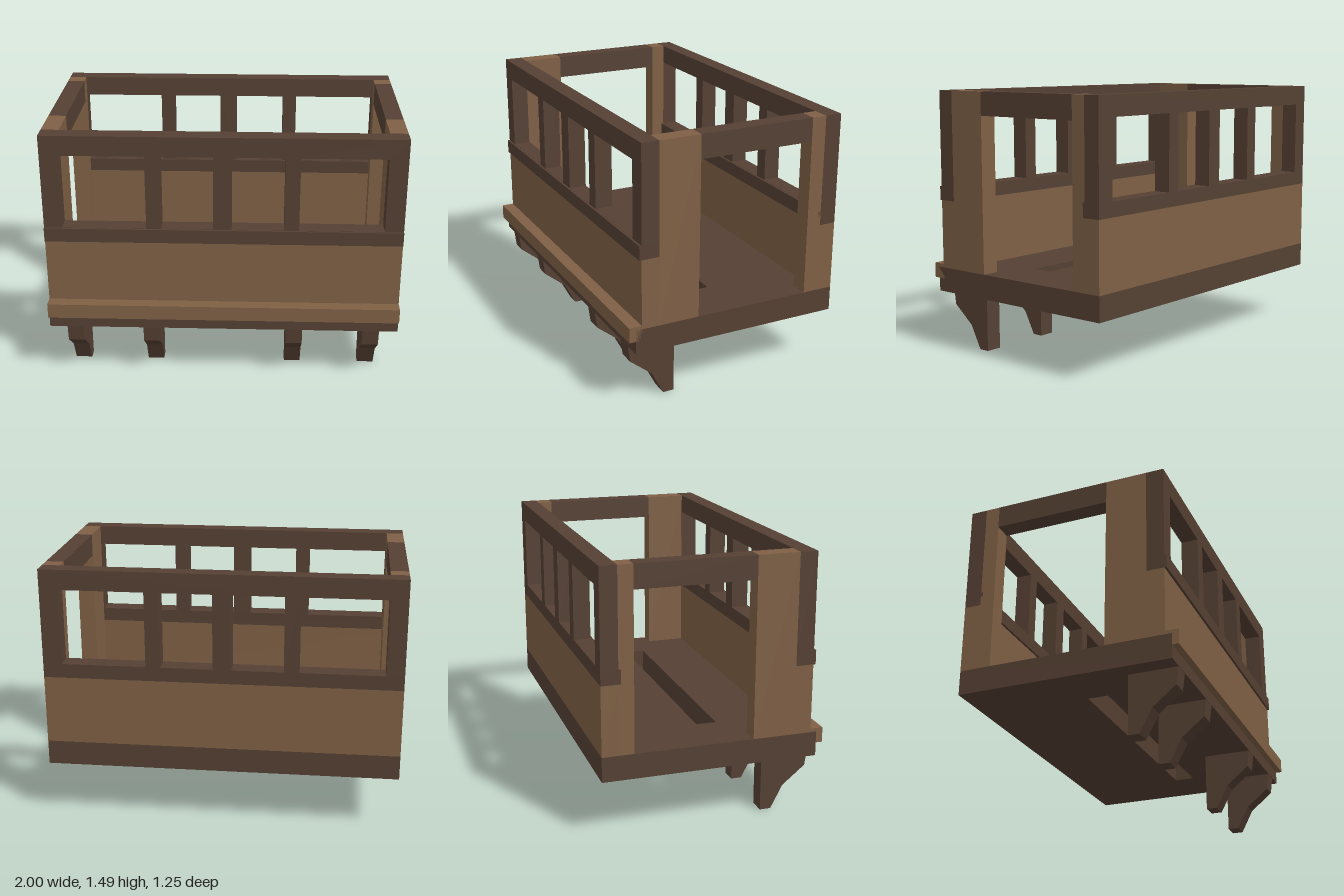
import * as THREE from 'three';

const darkWood = new THREE.MeshStandardMaterial({ name: 'darkWood', color: 0x554033 });
const lightWood = new THREE.MeshStandardMaterial({ name: 'lightWood', color: 0x7f6045 });

const FLOOR = 0.475, SILL = 0.865, TOP = 1.487;

// Box given by its min and max on each axis
function box(parent, name, material, [x0, x1], [y0, y1], [z0, z1]) {
  const mesh = new THREE.Mesh(new THREE.BoxGeometry(x1 - x0, y1 - y0, z1 - z0), material);
  mesh.position.set((x0 + x1) / 2, (y0 + y1) / 2, (z0 + z1) / 2);
  mesh.name = name;
  parent.add(mesh);
  return mesh;
}

function rect(target, x0, x1, y0, y1) {
  target.moveTo(x0, y0);
  target.lineTo(x1, y0);
  target.lineTo(x1, y1);
  target.lineTo(x0, y1);
  target.closePath();
  return target;
}

function extrude(parent, name, shape, depth) {
  const geometry = new THREE.ExtrudeGeometry(shape, { depth, bevelEnabled: false });
  const mesh = new THREE.Mesh(geometry, darkWood);
  mesh.name = name;
  parent.add(mesh);
  return mesh;
}

// Planked side: solid lower wall, sill and window frame with four openings
function windowWall(parent, name, z0, z1) {
  const wall = new THREE.Group();
  wall.name = name;
  box(wall, 'lowerWall', lightWood, [-1, 1], [FLOOR, SILL], [z0, z1]);
  box(wall, 'sill', darkWood, [-1, 1], [SILL, 0.945], [z0, z1 + 0.013]);
  const frame = rect(new THREE.Shape(), -1, 1, 0.945, TOP);
  for (const [a, b] of [[-0.9, -0.428], [-0.345, -0.055], [0.047, 0.338], [0.421, 0.895]]) {
    frame.holes.push(rect(new THREE.Path(), a, b, 0.946, 1.374));
  }
  extrude(wall, 'windowFrame', frame, z1 - z0).position.z = z0;
  parent.add(wall);
}

export function createModel() {
  const model = new THREE.Group();
  model.name = 'balcony';

  // Floor with a long slot
  const floorShape = rect(new THREE.Shape(), -1, 1, -0.59, 0.625);
  floorShape.holes.push(rect(new THREE.Path(), -0.7, 0.7, -0.115, 0));
  const floor = extrude(model, 'floor', floorShape, FLOOR - 0.335);
  floor.rotation.x = -Math.PI / 2;
  floor.position.y = 0.335;

  windowWall(model, 'frontWall', 0.455, 0.555);
  windowWall(model, 'backWall', -0.625, -0.53);

  // Moulding along the foot of the front wall
  box(model, 'frontMoulding', lightWood, [-1, 1], [0.41, 0.495], [0.55, 0.627]);

  // Corner posts and end beams
  for (const [side, x] of [['right', [-1, -0.9]], ['left', [0.9, 1]]]) {
    box(model, side + 'FrontPost', lightWood, x, [FLOOR, TOP], [0.22, 0.455]);
    box(model, side + 'BackPost', lightWood, x, [FLOOR, TOP], [-0.53, -0.447]);
    box(model, side + 'EndBeam', darkWood, x, [1.355, TOP], [-0.447, 0.22]);
  }

  // Support brackets: profile runs along z, turned so thickness lies along x
  const profile = new THREE.Shape([
    [0.312, 0], [0.375, 0], [0.445, 0.133], [0.575, 0.238], [0.588, 0.335], [0.312, 0.335],
  ].map(([z, y]) => new THREE.Vector2(-z, y)));
  for (const x of [-0.9, -0.46, 0.36, 0.8]) {
    const bracket = extrude(model, 'bracket', profile, 0.095);
    bracket.rotation.y = Math.PI / 2;
    bracket.position.x = x;
  }
  return model;
}
